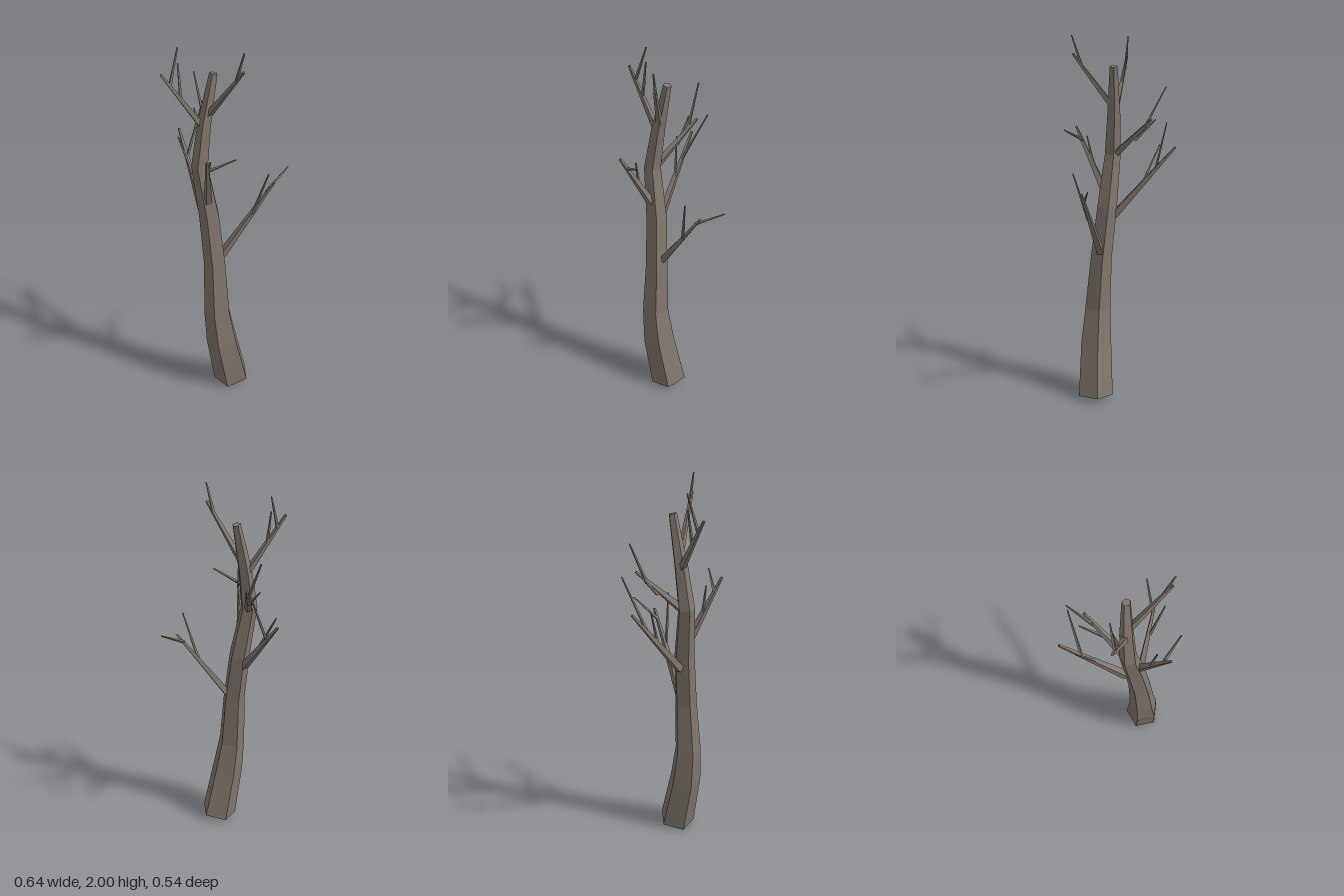
import * as THREE from 'three';

const bark = new THREE.MeshStandardMaterial({ color: 0x82786e, flatShading: true });
bark.name = 'bark';

// Faceted tapering limb; each ring is [x, y, z, radius], square to the path
function limb(name, rings, sides, turn = 0) {
  const centres = rings.map(r => new THREE.Vector3(r[0], r[1], r[2]));
  const last = rings.length - 1;
  const loops = rings.map((ring, j) => {
    const t = centres[Math.min(j + 1, last)].clone().sub(centres[Math.max(j - 1, 0)]).normalize();
    const u = new THREE.Vector3(1, 0, 0).addScaledVector(t, -t.x).normalize();
    const w = u.clone().cross(t);
    return Array.from({ length: sides }, (_, i) => {
      const a = turn + (i / sides) * Math.PI * 2;
      return centres[j].clone()
        .addScaledVector(u, Math.cos(a) * ring[3])
        .addScaledVector(w, Math.sin(a) * ring[3]);
    });
  });
  const points = [];
  for (let i = 0; i < sides; i++) {
    const n = (i + 1) % sides;
    for (let j = 0; j < last; j++) {
      const [a, b, c, d] = [loops[j][i], loops[j][n], loops[j + 1][i], loops[j + 1][n]];
      points.push(a, c, b, b, c, d);
    }
    points.push(centres[0], loops[0][i], loops[0][n]);
    points.push(centres[last], loops[last][n], loops[last][i]);
  }
  const geometry = new THREE.BufferGeometry().setFromPoints(points);
  geometry.computeVertexNormals();
  const mesh = new THREE.Mesh(geometry, bark);
  mesh.name = name;
  return mesh;
}

// Each branch: start, tip, then its twigs as [start, tip]
const branches = [
  { name: 'lowerLeftBranch', from: [-0.04, 0.86, 0.085], to: [0.225, 1.255, 0.07], r: 0.024,
    twigs: [[[0.19, 1.21, 0.07], [0.315, 1.3, -0.007]], [[0.115, 1.09, 0.085], [0.185, 1.345, 0.133]]] },
  { name: 'frontBranch', from: [-0.11, 1.17, 0.085], to: [-0.135, 1.51, 0.265], r: 0.025,
    twigs: [[[-0.13, 1.44, 0.225], [0.0, 1.515, 0.268]], [[-0.125, 1.33, 0.165], [-0.11, 1.47, 0.19]]] },
  { name: 'backBranch', from: [-0.12, 1.05, 0.04], to: [-0.21, 1.43, -0.265], r: 0.025,
    twigs: [[[-0.185, 1.3, -0.165], [-0.085, 1.58, -0.258]], [[-0.155, 1.22, -0.1], [-0.225, 1.43, -0.173]]] },
  { name: 'upperBackBranch', from: [-0.135, 1.39, 0.03], to: [-0.078, 1.59, -0.18], r: 0.022,
    twigs: [[[-0.095, 1.53, -0.13], [-0.13, 1.75, -0.235]], [[-0.11, 1.47, -0.08], [-0.14, 1.58, -0.18]]] },
  { name: 'upperRightBranch', from: [-0.13, 1.59, 0.04], to: [-0.315, 1.865, 0.05], r: 0.019,
    twigs: [[[-0.275, 1.8, 0.045], [-0.23, 1.975, 0.01]], [[-0.225, 1.73, 0.043], [-0.232, 1.9, 0.013]]] },
  { name: 'topFrontBranch', from: [-0.095, 1.65, 0.05], to: [0.045, 1.91, 0.19], r: 0.018,
    twigs: [[[0.015, 1.85, 0.158], [0.045, 2.0, 0.196]]] },
];

export function createModel() {
  const tree = new THREE.Group();
  tree.name = 'bareTree';

  // Bent five-sided trunk
  tree.add(limb('trunk', [
    [0.01, 0.023, 0.1, 0.1], [-0.045, 0.32, 0.12, 0.088], [-0.07, 0.52, 0.12, 0.073],
    [-0.077, 0.82, 0.1, 0.06], [-0.1, 1.1, 0.075, 0.055], [-0.143, 1.38, 0.06, 0.044],
    [-0.115, 1.6, 0.042, 0.035], [-0.067, 1.845, 0.022, 0.021],
  ], 5, THREE.MathUtils.degToRad(40)));

  for (const b of branches) {
    const group = new THREE.Group();
    group.name = b.name;
    group.add(limb('stem', [[...b.from, b.r], [...b.to, 0.007]], 4, 0.5));
    for (const [from, to] of b.twigs) {
      group.add(limb('twig', [[...from, 0.009], [...to, 0.0035]], 4, 0.5));
    }
    tree.add(group);
  }
  return tree;
}
